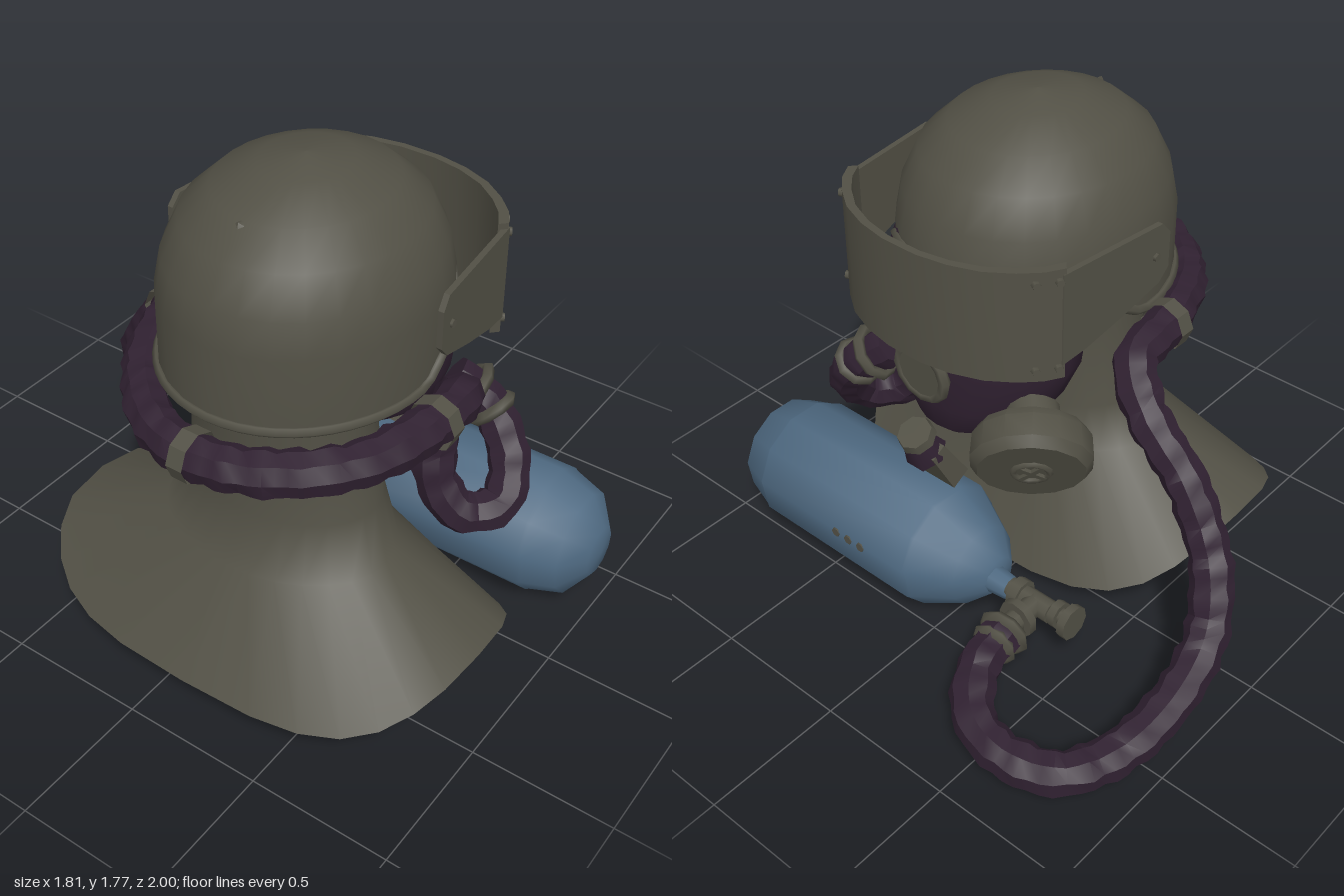
import * as THREE from 'three';
import { toCreasedNormals } from 'three/addons/utils/BufferGeometryUtils.js';

const mat = (name, color) => {
  const m = new THREE.MeshStandardMaterial({ color, side: THREE.DoubleSide });
  m.name = name;
  return m;
};
const V = (x, y, z) => new THREE.Vector3(x, y, z);
const UP = V(0, 1, 0);
const CZ = 0.145; // symmetry plane of the head, which faces +x

// Skin a list of closed rings (bottom to top), each with the same point count
function loft(rings, closedEnds = false) {
  const n = rings[0].length, pos = [], idx = [];
  rings.forEach(r => r.forEach(p => pos.push(p.x, p.y, p.z)));
  for (let i = 0; i < rings.length - 1; i++)
    for (let j = 0; j < n; j++) {
      const k = (j + 1) % n, a = i * n + j, b = i * n + k, c = a + n, d = b + n;
      idx.push(a, c, b, b, c, d);
    }
  if (closedEnds)
    for (let j = 1; j < n - 1; j++) {
      const t = (rings.length - 1) * n;
      idx.push(0, j, j + 1, t, t + j + 1, t + j);
    }
  const g = new THREE.BufferGeometry();
  g.setAttribute('position', new THREE.Float32BufferAttribute(pos, 3));
  g.setIndex(idx);
  g.computeVertexNormals();
  return g;
}
const ring = (n, f) => Array.from({ length: n }, (_, j) => f((j / n) * Math.PI * 2));
const oval = (n, y, cx, rx, rz, back = -9) =>
  ring(n, a => V(Math.max(back, cx + rx * Math.cos(a)), y, CZ + rz * Math.sin(a)));

// Crumpled, ribbed hose along a curve
function hoseGeometry(points, steps, sides) {
  const curve = new THREE.CatmullRomCurve3(points.map(p => V(...p)));
  const fr = curve.computeFrenetFrames(steps);
  let seed = 7;
  const rnd = () => (seed = (seed * 16807) % 2147483647) / 2147483647;
  const rings = [];
  for (let i = 0; i <= steps; i++) {
    const c = curve.getPointAt(i / steps);
    const r = [0.064, 0.068, 0.072][i % 3];
    rings.push(ring(sides, a => c.clone()
      .addScaledVector(fr.normals[i], Math.cos(a) * (r + rnd() * 0.01))
      .addScaledVector(fr.binormals[i], -Math.sin(a) * (r + rnd() * 0.01))));
  }
  return { curve, geometry: toCreasedNormals(loft(rings, true), 0.6) };
}

export function createModel() {
  const root = new THREE.Group();
  root.name = 'helmetWithBreathingGear';
  const olive = mat('olive', 0x525045), purple = mat('darkPurple', 0x302131), blue = mat('tankBlue', 0x4f6a82);
  const add = (name, geo, m, parent = root, p = [0, 0, 0]) => {
    const mesh = new THREE.Mesh(geo, m);
    mesh.name = name;
    mesh.position.set(...p);
    parent.add(mesh);
    return mesh;
  };
  const aim = (obj, dir) => (obj.quaternion.setFromUnitVectors(UP, dir.clone().normalize()), obj);
  const lathe = (pts, n, crease) => toCreasedNormals(
    new THREE.LatheGeometry(pts.map(p => new THREE.Vector2(...p)), n), crease);

  // Helmet dome, with a lower edge that rises over the face
  const edge = a => 1.11 + 0.1 * THREE.MathUtils.smoothstep(Math.cos(a), -0.1, 0.4)
    + 0.12 * THREE.MathUtils.smoothstep(Math.cos(a), 0.5, 0.9);
  const domeRing = (r, y) => ring(28, a => V(-0.22 + 0.5 * r * Math.cos(a), y ?? edge(a), CZ + 0.445 * r * Math.sin(a)));
  add('helmetDome', loft([domeRing(1), domeRing(1, 1.36), domeRing(0.95, 1.48), domeRing(0.83, 1.6),
    domeRing(0.62, 1.69), domeRing(0.32, 1.755), domeRing(0.002, 1.775)]), olive);
  const rim = new THREE.CatmullRomCurve3(ring(28, a =>
    V(-0.22 + 0.5 * Math.cos(a), edge(a), CZ + 0.445 * Math.sin(a))), true);
  add('helmetRim', new THREE.TubeGeometry(rim, 56, 0.018, 5, true), olive);
  const stud = add('domeStud', new THREE.ConeGeometry(0.05, 0.04, 4), olive, root, [-0.535, 1.675, CZ]);
  aim(stud, V(-0.6, 0.8, 0));

  // Neck curtain flaring over the shoulders
  const flare = c => Math.sign(c) * Math.abs(c) ** 0.72;
  const hem = ring(28, a => V(-0.39 + 0.52 * flare(Math.cos(a)),
    0.11 - 0.04 * Math.cos(a) + 0.2 * Math.sin(a) ** 4, CZ + 0.79 * flare(Math.sin(a))));
  add('neckCurtain', loft([hem, oval(28, 0.48, -0.365, 0.31, 0.42), oval(28, 0.65, -0.33, 0.25, 0.35),
    oval(28, 0.95, -0.345, 0.265, 0.31), oval(28, 1.25, -0.345, 0.27, 0.32)]), olive);

  // Face mask, pointed at the nose and flat where it meets the neck
  add('faceMask', loft([[0.66, 0.15, 0.09, 0.08], [0.72, 0.1, 0.2, 0.2], [0.82, 0.05, 0.27, 0.3],
    [0.95, 0.03, 0.31, 0.35], [1.1, 0.03, 0.32, 0.37], [1.25, 0.02, 0.3, 0.365], [1.4, 0, 0.25, 0.33]]
    .map(s => oval(24, ...s, -0.06)), true), purple);
  const port = new THREE.Group();
  port.name = 'frontPort';
  port.position.set(0.345, 0.965, 0.155);
  aim(port, V(1, -0.05, 0));
  root.add(port);
  add('portRing', new THREE.TorusGeometry(0.1, 0.021, 6, 12).rotateX(Math.PI / 2), olive, port);
  add('portDisc', new THREE.CylinderGeometry(0.09, 0.1, 0.03, 12), olive, port);

  // Exhale valve below the port
  const valve = new THREE.Group();
  valve.name = 'exhaleValve';
  valve.position.set(0.32, 0.6, 0.155);
  valve.rotation.z = -0.5;
  root.add(valve);
  add('valveBox', toCreasedNormals(new THREE.CylinderGeometry(0.09, 0.115, 0.18, 4).rotateY(Math.PI / 4)
    .scale(0.5, 1, 1), 0.4), olive, valve, [0, -0.03, 0]);
  add('valveNeck', new THREE.CylinderGeometry(0.045, 0.075, 0.11, 6), purple, valve, [0.01, 0.085, 0]);
  add('valveCollar', new THREE.CylinderGeometry(0.062, 0.068, 0.035, 8), olive, valve, [0, 0.14, 0]);

  // Filter canister on the cheek
  const filter = new THREE.Group();
  filter.name = 'filterCanister';
  filter.position.set(0.255, 0.775, -0.24);
  aim(filter, V(0.7, -0.42, -0.58));
  root.add(filter);
  add('canisterBody', lathe([[0, -0.17], [0.09, -0.17], [0.1, -0.09], [0.18, -0.08], [0.2, -0.05],
    [0.205, 0.03], [0.18, 0.065], [0, 0.065]], 14, 0.6), olive, filter);
  add('canisterRing', new THREE.TorusGeometry(0.06, 0.012, 5, 12).rotateX(Math.PI / 2), olive, filter, [0, 0.067, 0]);
  for (const r of [0, Math.PI / 2])
    add('canisterSpoke', new THREE.BoxGeometry(0.12, 0.02, 0.018).rotateY(r), olive, filter, [0, 0.067, 0]);

  // Visor plate, bent around the face
  const half = [[0.19, 0.465], [0.25, 0.43], [0.31, 0.37], [0.37, 0.285], [0.41, 0.18], [0.43, 0.07]];
  const outer = [...half, ...half.map(([x, z]) => [x, -z]).reverse()];
  const inner = outer.map(([x, z]) => [x - 0.025, z * 0.95]).reverse();
  const plate = new THREE.Shape([...outer, ...inner].map(p => new THREE.Vector2(...p)));
  add('visorPlate', toCreasedNormals(new THREE.ExtrudeGeometry(plate, { depth: 0.405, bevelEnabled: false })
    .rotateX(Math.PI / 2), 0.6), olive, root, [0, 1.493, CZ]);

  // Visor side arms and rivets, mirrored
  const arm = new THREE.Shape([[-0.26, 1.3], [-0.26, 1.43], [-0.225, 1.472], [0.2, 1.472], [0.2, 1.14], [0.1, 1.155],
    [-0.06, 1.2], [-0.22, 1.255]].map(p => new THREE.Vector2(...p)));
  for (const s of [1, -1]) {
    const g = new THREE.ExtrudeGeometry(arm, { depth: 0.02, bevelEnabled: false });
    const p = g.attributes.position;
    for (let i = 0; i < p.count; i++) // arms spread outwards to the rear
      p.setZ(i, CZ + s * 0.455 - 0.01 + p.getZ(i) + s * 0.11 * (0.2 - p.getX(i)));
    g.computeVertexNormals();
    add('visorArm', g, olive);
    for (const [x, y, z] of [[0.21, 1.45, 0.456], [0.27, 1.45, 0.413], [0.21, 1.13, 0.456], [0.27, 1.13, 0.413], [-0.2, 1.36, 0.507]])
      aim(add('visorRivet', new THREE.CylinderGeometry(0.014, 0.016, 0.022, 6), olive, root, [x, y, CZ + s * z]),
        V(x > 0 ? 0.55 : 0, 0, s));
  }

  // Breathing hose: tank regulator, round the back of the head, to the mask
  const { curve, geometry } = hoseGeometry([
    [0.5, 0.235, -0.345], [0.69, 0.21, -0.38], [0.81, 0.16, -0.48], [0.83, 0.12, -0.61], [0.76, 0.1, -0.79],
    [0.58, 0.12, -0.89], [0.35, 0.2, -0.925], [0.17, 0.34, -0.91], [0.06, 0.52, -0.83], [0.01, 0.74, -0.68],
    [0, 0.93, -0.5], [-0.08, 1.03, -0.39], [-0.3, 1.05, -0.355], [-0.6, 1.03, -0.21], [-0.77, 1.02, 0],
    [-0.8, 1.02, 0.2], [-0.72, 1.03, 0.43], [-0.54, 1.04, 0.6], [-0.3, 1.05, 0.665], [-0.12, 1.04, 0.66],
    [-0.03, 0.95, 0.59], [0, 0.78, 0.52], [-0.03, 0.58, 0.54], [0, 0.47, 0.63], [0.1, 0.48, 0.71],
    [0.2, 0.6, 0.68], [0.235, 0.75, 0.57], [0.19, 0.85, 0.45]], 165, 8);
  add('breathingHose', geometry, purple);
  for (const [t, r] of [[0.985, 0.085], [0.968, 0.072], [0.004, 0.072], [0.014, 0.062]]) {
    const c = curve.getPointAt(t);
    aim(add('hoseCollar', new THREE.TorusGeometry(r, 0.022, 5, 9).rotateX(Math.PI / 2), olive, root, c.toArray()),
      curve.getTangentAt(t));
  }

  // Clips holding the hose to the helmet
  for (const [x, y, z, turn] of [[-0.29, 1.055, -0.36, 0], [-0.29, 1.055, 0.67, 0], [-0.8, 1.02, 0.145, Math.PI / 2]]) {
    const clip = add('hoseClip', toCreasedNormals(new THREE.CylinderGeometry(0.085, 0.085, 0.06, 8, 1, true)
      .rotateZ(Math.PI / 2), 0.4), olive, root, [x, y, z]);
    clip.rotation.y = turn;
  }

  // Air tank lying along z
  const tank = new THREE.Group();
  tank.name = 'airTank';
  tank.position.set(0.335, 0.235, 0);
  tank.rotation.x = Math.PI / 2;
  root.add(tank);
  add('tankBody', lathe([[0, -0.17], [0.07, -0.16], [0.15, -0.08], [0.228, 0.07], [0.235, 0.08], [0.235, 0.79],
    [0.228, 0.8], [0.19, 0.92], [0.09, 0.99], [0, 1]], 11, 1.1), blue, tank);
  add('tankNeck', new THREE.CylinderGeometry(0.05, 0.04, 0.1, 8), blue, tank, [0.02, -0.2, 0]);
  for (const z of [0.28, 0.34, 0.4])
    add('tankMark', new THREE.CylinderGeometry(0.018, 0.018, 0.009, 6).rotateZ(Math.PI / 2), olive, root, [0.566, 0.26, z]);

  // Regulator and hand wheel
  const reg = new THREE.Group();
  reg.name = 'regulator';
  reg.position.set(0.355, 0.24, -0.345);
  root.add(reg);
  const part = (name, r, h, axis, p) => aim(add(name, new THREE.CylinderGeometry(r, r, h, 9), olive, reg, p), axis);
  const Z = V(0, 0, 1), X = V(1, 0, 0);
  part('regulatorBody', 0.04, 0.18, Z, [0, 0, 0.02]);
  part('regulatorNut', 0.055, 0.04, Z, [0, 0, 0.07]);
  part('handWheelStem', 0.03, 0.1, Z, [-0.01, 0, -0.1]);
  part('handWheelHub', 0.048, 0.03, Z, [-0.01, 0, -0.09]);
  part('handWheel', 0.062, 0.03, Z, [-0.01, 0, -0.145]);
  part('outletPipe', 0.04, 0.16, X, [0.08, 0, 0]);
  part('outletNut', 0.07, 0.03, X, [0.09, 0, 0]);
  return root;
}
